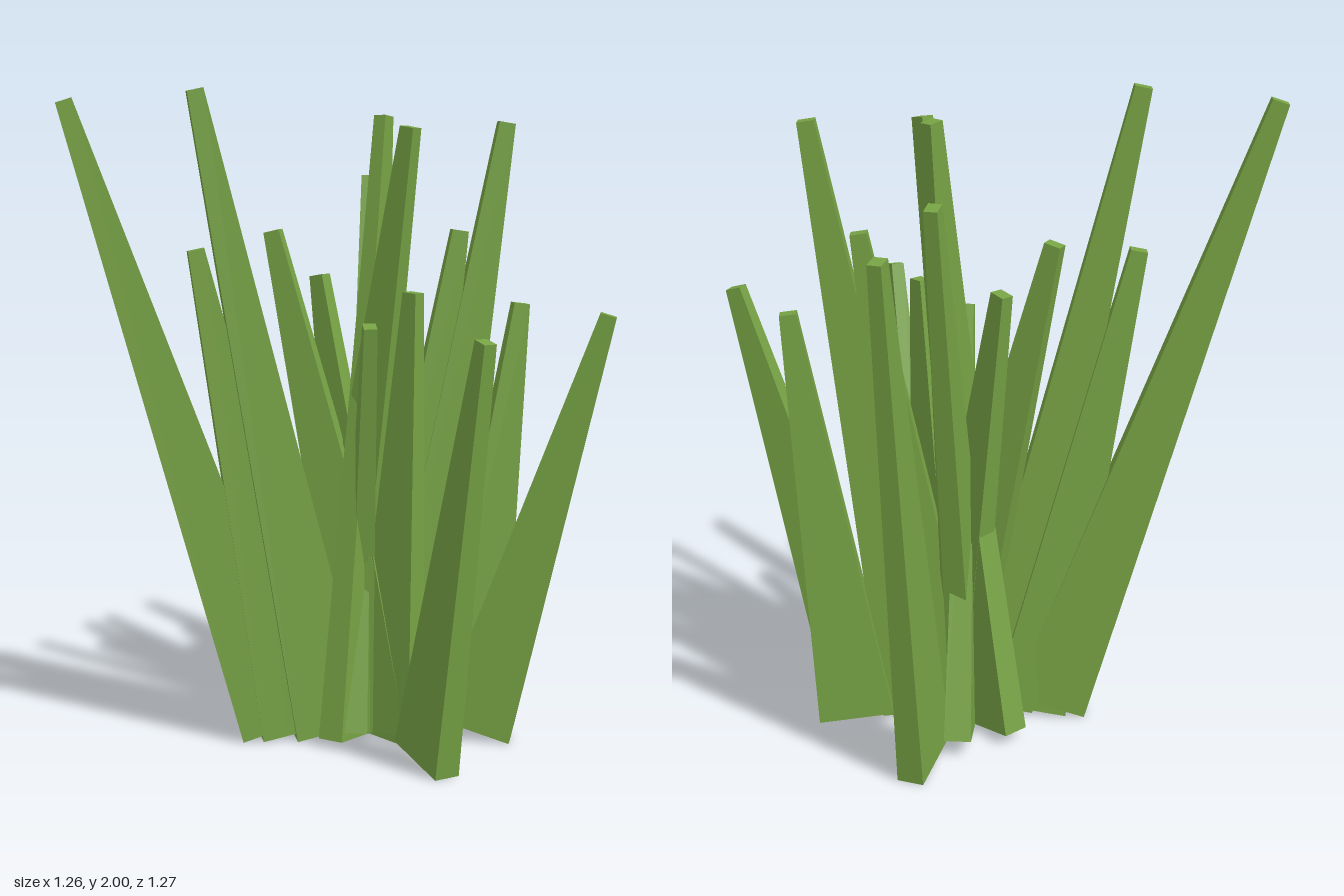
import * as THREE from 'three';

const BASE_W = 0.235, TIP_W = 0.05, TIP_T = 0.04;

// Tapered four-sided blade, standing on y = 0, wide along x at the base
function bladeGeometry(length, thickness) {
  const g = new THREE.BoxGeometry(1, length, 1).translate(0, length / 2, 0);
  const p = g.attributes.position;
  for (let i = 0; i < p.count; i++) {
    const top = p.getY(i) > length / 2;
    p.setX(i, p.getX(i) * (top ? TIP_W : BASE_W));
    p.setZ(i, p.getZ(i) * (top ? TIP_T : thickness));
  }
  g.computeVertexNormals();
  return g;
}

// Each blade: base x, base z, tip x, tip y, tip z
const BLADES = [
  [-0.20, 0.13, -0.60, 1.97, 0.60],
  [-0.08, 0.01, -0.33, 2.00, 0.33],
  [-0.01, -0.03, -0.235, 1.74, -0.34],
  [-0.20, -0.365, -0.35, 1.665, -0.605],
  [-0.16, 0.08, -0.345, 1.53, 0.32],
  [-0.025, -0.01, -0.065, 1.925, -0.215],
  [-0.17, -0.08, 0.145, 1.89, -0.09],
  [0.05, -0.19, 0.25, 1.905, -0.42],
  [0.0, -0.13, 0.155, 1.58, -0.315],
  [0.055, -0.10, 0.15, 1.40, -0.10],
  [-0.165, -0.20, 0.10, 1.31, 0.04],
  [0.15, -0.37, 0.25, 1.35, -0.505],
  [0.32, 0.035, 0.595, 1.305, 0.128],
  [0.265, -0.27, 0.60, 1.34, -0.47],
  [0.045, -0.105, -0.28, 1.58, 0.055],
  [0.04, -0.095, -0.21, 1.44, -0.08],
];

export function createModel() {
  const group = new THREE.Group();
  group.name = 'grassTuft';
  const green = new THREE.MeshStandardMaterial({ color: 0x76a244 });
  green.name = 'grassGreen';
  green.flatShading = true;

  BLADES.forEach(([bx, bz, tx, ty, tz], i) => {
    const dx = tx - bx, dz = tz - bz, reach = Math.hypot(dx, dz);
    const tilt = Math.atan2(reach, ty);
    const by = (BASE_W / 2) * Math.sin(tilt);        // outer base edge rests on the ground
    const height = ty - by - (TIP_W / 2) * Math.sin(tilt);
    const mesh = new THREE.Mesh(bladeGeometry(Math.hypot(reach, height), 0.082), green);
    mesh.name = `grassBlade${i + 1}`;
    mesh.position.set(bx, by, bz);
    mesh.rotation.set(0, Math.atan2(-dz, dx), -Math.atan2(reach, height), 'YXZ');
    group.add(mesh);
  });
  return group;
}
